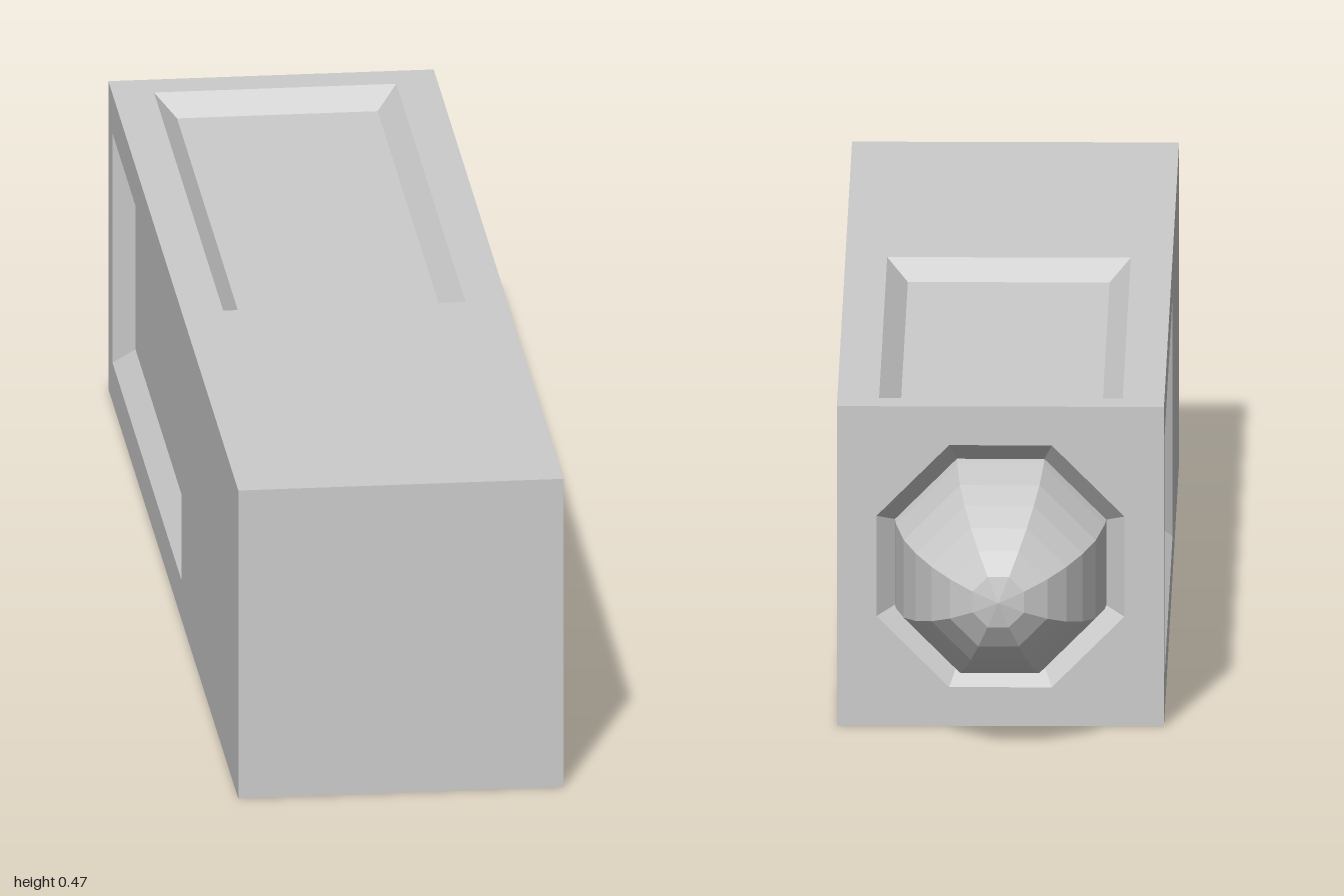
import * as THREE from 'three';

const HALF = 0.235, BACK = -0.755, FRONT = 1, DEPTH = 0.03;
const material = new THREE.MeshStandardMaterial({ color: 0xcccccc, flatShading: true });

const rect = (x0, x1, y0, y1) => [[x0, y0], [x1, y0], [x1, y1], [x0, y1]].map(p => new THREE.Vector2(...p));

// Octagon with flat top and bottom, sized by its apothem
const toRadius = apothem => apothem / Math.cos(Math.PI / 8);
const octagon = apothem => Array.from({ length: 8 }, (_, i) => {
  const a = (i + 0.5) * Math.PI / 4;
  return new THREE.Vector2(Math.cos(a), Math.sin(a)).multiplyScalar(toRadius(apothem));
});

// Sloping wall from an outer loop at z = 0 down to an inner loop at z = -DEPTH
function bevelGeometry(outer, inner) {
  const pos = [];
  outer.forEach((a, i) => {
    const j = (i + 1) % outer.length, b = outer[j], c = inner[j], d = inner[i];
    pos.push(a.x, a.y, 0, b.x, b.y, 0, c.x, c.y, -DEPTH);
    pos.push(a.x, a.y, 0, c.x, c.y, -DEPTH, d.x, d.y, -DEPTH);
  });
  const g = new THREE.BufferGeometry();
  g.setAttribute('position', new THREE.Float32BufferAttribute(pos, 3));
  g.computeVertexNormals();
  return g;
}

function add(parent, geometry, name) {
  const mesh = new THREE.Mesh(geometry, material);
  mesh.name = name;
  parent.add(mesh);
  return mesh;
}

// Flat face with a bevelled recess, facing local +z
function recessedFace(name, outline, outer, inner) {
  const group = new THREE.Group();
  group.name = name;
  const frame = new THREE.Shape(outline);
  frame.holes.push(new THREE.Path(outer));
  add(group, new THREE.ShapeGeometry(frame), 'frame');
  add(group, bevelGeometry(outer, inner), 'bevel');
  add(group, new THREE.ShapeGeometry(new THREE.Shape(inner)), 'recessFloor').position.z = -DEPTH;
  return group;
}

export function createModel() {
  const model = new THREE.Group();
  model.name = 'block';
  const body = new THREE.Group();
  body.name = 'body';
  body.position.y = HALF;
  model.add(body);

  // Four long sides, each with a rectangular recess towards the back
  ['topSide', 'leftSide', 'bottomSide', 'rightSide'].forEach((name, i) => {
    const face = recessedFace(name,
      rect(-HALF, HALF, -FRONT, -BACK),
      rect(-0.175, 0.175, -0.235, 0.7),
      rect(-0.145, 0.145, -0.205, 0.67));
    face.rotation.x = -Math.PI / 2;
    face.position.y = HALF;
    const turn = new THREE.Group();
    turn.name = name + 'Mount';
    turn.rotation.z = -i * Math.PI / 2;
    turn.add(face);
    body.add(turn);
  });

  // Plain front end
  add(body, new THREE.PlaneGeometry(HALF * 2, HALF * 2), 'frontEnd').position.z = FRONT;

  // Back end with an octagonal recess
  const back = recessedFace('backEnd', rect(-HALF, HALF, -HALF, HALF), octagon(0.178), octagon(0.15));
  back.rotation.y = Math.PI;
  back.position.z = BACK;
  body.add(back);

  // Eight-sided rounded knob rising out of the back recess
  const profile = [[0.152, 0.725], [0.15, 0.755], [0.138, 0.84], [0.12, 0.895], [0.097, 0.94],
    [0.07, 0.972], [0.037, 0.993], [0, 1]];
  const knob = add(body, new THREE.LatheGeometry(
    profile.map(([r, y]) => new THREE.Vector2(toRadius(r), y)), 8, Math.PI / 8), 'knob');
  knob.rotation.x = -Math.PI / 2;

  return model;
}
